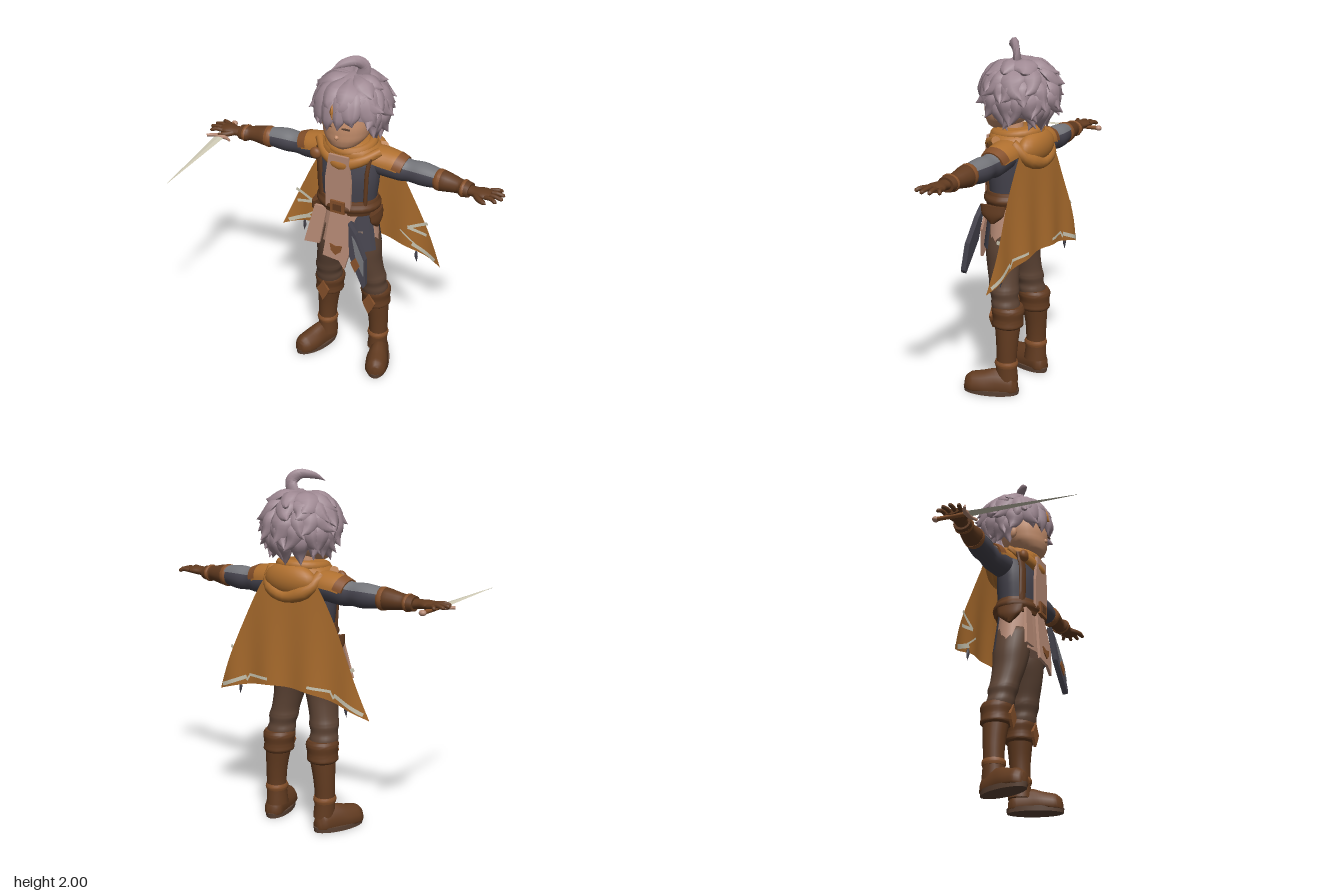
import * as THREE from 'three';
import { toCreasedNormals } from 'three/addons/utils/BufferGeometryUtils.js';

const material = (name, color, side = THREE.FrontSide) =>
  Object.assign(new THREE.MeshStandardMaterial({ color, side }), { name });
const V = (p) => new THREE.Vector3(...p);

// Elliptical tube along a smooth path; radii are [sideways, along up]
function sweep(pts, radii, o = {}) {
  const { up = [0, 1, 0], axis, sides = 16, n = (pts.length - 1) * 4, arc = [0, Math.PI * 2], floor = -9, crease = 0.9 } = o;
  const path = new THREE.CatmullRomCurve3(pts.map(V));
  const size = new THREE.CatmullRomCurve3(radii.map(([a, b]) => new THREE.Vector3(a, b, 0)));
  const pos = [], idx = [], w = sides + 1;
  for (let i = 0; i <= n; i++) {
    const P = path.getPoint(i / n), r = size.getPoint(i / n);
    const T = axis ? V(axis) : path.getTangent(i / n);
    const S = T.clone().cross(V(up)).normalize(), N = S.clone().cross(T);
    for (let j = 0; j <= sides; j++) {
      const a = arc[0] + (arc[1] - arc[0]) * j / sides;
      const q = P.clone().addScaledVector(S, Math.cos(a) * Math.max(r.x, 0.001))
        .addScaledVector(N, Math.sin(a) * Math.max(r.y, 0.001));
      pos.push(q.x, Math.max(q.y, floor), q.z);
      if (i < n && j < sides) {
        const k = i * w + j;
        idx.push(k, k + w, k + 1, k + 1, k + w, k + w + 1);
      }
    }
  }
  const c = pos.length / 3, a = pts[0], b = pts[pts.length - 1];
  pos.push(...a, ...b);
  for (let j = 0; j < sides; j++) idx.push(c, j, j + 1, c + 1, n * w + j + 1, n * w + j);
  const g = new THREE.BufferGeometry();
  g.setAttribute('position', new THREE.Float32BufferAttribute(pos, 3));
  g.setIndex(idx);
  return toCreasedNormals(g, crease);
}
// Upright body section list: [y, cx, cz, rx, rz]
const loft = (rows, o = {}) => sweep(rows.map((r) => [r[1], r[0], r[2]]), rows.map((r) => [r[3], r[4]]),
  { up: [0, 0, 1], axis: [0, 1, 0], sides: 24, ...o });

// Flat cloth panel that leans forward toward its lower end
function panel(pts, z, slope = 0, depth = 0.016) {
  const g = new THREE.ExtrudeGeometry(new THREE.Shape(pts.map((p) => new THREE.Vector2(...p))), { depth, bevelEnabled: false });
  const p = g.attributes.position;
  for (let i = 0; i < p.count; i++) p.setZ(i, p.getZ(i) + z + (1.1 - p.getY(i)) * slope);
  g.computeVertexNormals();
  return g;
}
const ball = (x, y, z, rx, ry, rz) => new THREE.SphereGeometry(1, 24, 16).scale(rx, ry, rz).translate(x, y, z);
const box = (x, y, z, w, h, d) => new THREE.BoxGeometry(w, h, d).translate(x, y, z);
const capeZ = (x, y) => {
  const v = (1.42 - y) / 0.7;
  return -0.332 - 0.013 * v - 0.032 * (1 - (x / 0.53) ** 2) * (0.4 + 0.6 * v) + 0.01 * Math.cos(x * 22) * v;
};

export function createModel() {
  const D = THREE.DoubleSide;
  const hair = material('hair mauve', 0x9f8993, D), skin = material('skin', 0xc48e6c);
  const orange = material('ochre cloth', 0xb0702f, D), leather = material('tan leather', 0x85502a);
  const boot = material('dark leather', 0x623b20), trousers = material('trouser brown', 0x5c4334);
  const navy = material('navy cloth', 0x45434d, D), grey = material('grey cloth', 0x74757a, D);
  const tan = material('pale tunic', 0xb68a75), cream = material('cream', 0xd2cdb8, D);
  const model = new THREE.Group();
  const add = (name, geo, mat) => {
    const m = new THREE.Mesh(geo, mat);
    m.name = name;
    model.add(m);
    return m;
  };

  // Head
  add('head', loft([[1.495, 0, -0.12, 0.035, 0.035], [1.52, 0, -0.135, 0.085, 0.08], [1.57, 0, -0.165, 0.128, 0.125],
    [1.65, 0, -0.18, 0.143, 0.14], [1.75, 0, -0.2, 0.14, 0.14], [1.83, 0, -0.22, 0.09, 0.09]], { crease: 2 }), skin);
  add('nose', ball(0, 1.585, -0.046, 0.014, 0.015, 0.018), skin);
  add('neck', new THREE.CylinderGeometry(0.055, 0.065, 0.14, 16).translate(0, 1.47, -0.2), skin);
  for (const s of [-1, 1]) {
    add('ear', ball(s * 0.15, 1.605, -0.19, 0.02, 0.042, 0.03), skin);
    add('eyelash', box(s * 0.055, 1.645, -0.047, 0.05, 0.009, 0.007), trousers);
  }

  // Hair: cap plus shaggy rows of pointed, outward flicking locks
  const R = [0.188, 0.182, 0.192];
  add('hairCap', new THREE.SphereGeometry(1, 32, 20, 0, Math.PI * 2, 0, Math.PI * 0.64).rotateX(-0.42)
    .scale(...R).translate(0, 1.71, -0.24), hair);
  const onHead = (az, el, k) => [R[0] * Math.sin(az) * Math.cos(el) * k, 1.71 + R[1] * Math.sin(el) * k,
    -0.24 + R[2] * Math.cos(az) * Math.cos(el) * k];
  const lock = (az, e0, e1, k, w, lean, mat = hair) => {
    const m = (e0 + e1) / 2, up = [Math.sin(az) * Math.cos(m), Math.sin(m), Math.cos(az) * Math.cos(m)];
    add('hairLock', sweep([onHead(az, e0, 0.95), onHead(az, m, 1.04), onHead(az + lean * 0.35, m * 0.35 + e1 * 0.65, 1.07), onHead(az + lean, e1, k)],
      [[0.015, 0.01], [w, 0.026], [w * 0.72, 0.028], [0, 0]], { up, sides: 8, n: 12 }), mat);
  };
  // [count, first and last azimuth, start and end elevation, reach, width]
  const rows = [[7, 1.0, 5.3, 1.45, 0.5, 1.26, 0.062], [9, 0.8, 5.5, 1.1, 0.12, 1.28, 0.058], [11, 0.9, 5.4, 0.7, -0.2, 1.3, 0.052],
    [11, 1.1, 5.2, 0.4, -0.55, 1.33, 0.05], [10, 1.4, 4.88, 0.1, -0.9, 1.33, 0.044], [7, -0.95, 0.95, 1.35, -0.32, 1.17, 0.056],
    [4, -0.7, 0.85, 1.3, 0.05, 1.17, 0.06]];
  rows.forEach(([n, a0, a1, e0, e1, k, w], r) => {
    for (let i = 0; i < n; i++) {
      lock(a0 + (a1 - a0) * (i + 0.3 * Math.sin(i * 5.1 + r)) / (n - 1), e0, e1 + Math.sin(i * 7.3 + r * 3.1) * 0.13,
        k + 0.04 * Math.sin(i * 4.7 + r), w * (1 + 0.2 * Math.sin(i * 3.7 + r)), 0.3 * Math.sin(i * 2.9 + r * 2));
    }
  });
  lock(-0.1, 0.62, -0.02, 1.2, 0.022, 0.05, orange);
  add('hairCurl', sweep([[0.05, 1.87, -0.25], [0.062, 1.94, -0.25], [0.03, 1.976, -0.22], [-0.03, 1.968, -0.17], [-0.075, 1.94, -0.13]],
    [[0.04, 0.02], [0.034, 0.02], [0.03, 0.022], [0.022, 0.014], [0, 0]], { up: [0.3, 0.4, 1], sides: 8 }), hair);

  // Torso and tunic
  add('jacket', loft([[0.95, 0, -0.2, 0.17, 0.11], [1.1, 0, -0.2, 0.165, 0.115], [1.3, 0, -0.2, 0.185, 0.125],
    [1.41, 0, -0.21, 0.18, 0.115], [1.47, 0, -0.21, 0.1, 0.08]]), navy);
  add('tunicSkirt', loft([[0.86, 0, -0.2, 0.198, 0.125], [0.98, 0, -0.2, 0.182, 0.122], [1.1, 0, -0.2, 0.165, 0.118]]), tan);
  const tail = (a, len) => new THREE.CylinderGeometry(0.172, 0.212, 0.25, 24, 3, true, a, len).scale(1, 1, 0.65).translate(0, 0.975, -0.2);
  add('coatTail', tail(Math.PI * 0.66, Math.PI * 0.68), navy);
  add('coatSide', tail(0.35, 0.9), navy);
  add('chestPanel', panel([[-0.08, 1.12], [0.075, 1.12], [0.08, 1.3], [0.06, 1.46], [-0.06, 1.46], [-0.085, 1.3]], -0.08), tan);
  add('frontFlap', panel([[-0.05, 1.1], [0.05, 1.1], [0.1, 0.92], [0.06, 0.745], [0.02, 0.79], [-0.085, 0.8]], -0.085, 0.12), tan);
  add('flapPatch', panel([[-0.04, 0.89], [0, 0.88], [0.04, 0.89], [0.03, 0.85], [0, 0.825], [-0.03, 0.85]], -0.067, 0.12, 0.006), leather);
  add('sideFlap', panel([[-0.165, 1.09], [-0.085, 1.09], [-0.12, 0.855], [-0.22, 0.845]], -0.105, 0.13), tan);
  add('sash', panel([[0.08, 1.06], [0.13, 1.0], [0.2, 0.86], [0.215, 0.7], [0.2, 0.68], [0.16, 0.75], [0.1, 0.86]], -0.07, 0.13, 0.03), navy);
  add('sashStripe', panel([[0.11, 0.99], [0.135, 0.96], [0.195, 0.85], [0.2, 0.76], [0.15, 0.84]], -0.04, 0.13, 0.006), grey);
  add('sashOrnament', panel([[0.115, 0.83], [0.145, 0.865], [0.175, 0.82], [0.15, 0.775]], -0.034, 0.13, 0.006), leather);

  // Belt, pouches and straps
  add('belt', loft([[1.08, 0, -0.2, 0.178, 0.13], [1.1, 0, -0.2, 0.183, 0.135], [1.15, 0, -0.2, 0.183, 0.135], [1.17, 0, -0.2, 0.178, 0.13]]), boot);
  add('buckle', box(0, 1.135, -0.06, 0.09, 0.075, 0.02), leather);
  add('buckleCentre', box(0, 1.135, -0.05, 0.05, 0.04, 0.008), boot);
  for (const s of [-1, 1]) {
    add('beltPouch', sweep([[s * 0.185, 1.1, -0.18], [s * 0.19, 1.05, -0.18], [s * 0.19, 1.0, -0.18]],
      [[0.08, 0.02], [0.07, 0.022], [0.012, 0.012]], { up: [1, 0, 0] }), boot);
    const w = s < 0 ? 0.024 : 0.012, strap = [w, 0.01];
    add('chestStrap', sweep([[s * 0.16, 1.45, -0.14], [s * 0.15, 1.36, -0.122], [s * 0.145, 1.25, -0.122], [s * 0.14, 1.15, -0.125]],
      [strap, strap, strap, strap], { up: [s * 0.5, 0, 1] }), boot);
  }
  add('strapStud', ball(-0.165, 1.42, -0.105, 0.035, 0.035, 0.025), leather);

  // Cowl and hood
  add('cowl', loft([[1.37, 0, -0.23, 0.1, 0.11], [1.405, 0, -0.228, 0.165, 0.14], [1.44, 0, -0.228, 0.19, 0.15],
    [1.48, 0, -0.228, 0.165, 0.148], [1.515, 0, -0.23, 0.115, 0.115]], { crease: 2 }), orange);
  add('cowlRoll', new THREE.TorusGeometry(0.122, 0.03, 12, 32).rotateX(Math.PI / 2 + 0.12).translate(0, 1.488, -0.227), orange);
  add('cowlFold', sweep([[-0.19, 1.47, -0.2], [-0.11, 1.43, -0.115], [0, 1.4, -0.083], [0.11, 1.43, -0.115], [0.19, 1.47, -0.2]],
    [[0.025, 0.025], [0.026, 0.032], [0.026, 0.035], [0.026, 0.032], [0.025, 0.025]]), orange);
  add('hood', ball(0, 1.42, -0.34, 0.17, 0.095, 0.075), orange);
  add('hoodFold', sweep([[-0.17, 1.46, -0.29], [-0.14, 1.39, -0.35], [0, 1.335, -0.38], [0.14, 1.39, -0.35], [0.17, 1.46, -0.29]],
    [[0.03, 0.03], [0.035, 0.035], [0.035, 0.035], [0.035, 0.035], [0.03, 0.03]], { up: [0, 0, 1] }), orange);

  // Cape with zigzag trim, drawn differently on the lining and the back
  const cape = new THREE.PlaneGeometry(2, 1, 48, 20), cp = cape.attributes.position;
  for (let i = 0; i < cp.count; i++) {
    const u = cp.getX(i), v = 0.5 - cp.getY(i);
    const x = u * (0.17 + 0.36 * v ** 0.82), y = 1.42 + (0.72 + 0.1 * (1 - u * u) - 1.42) * v;
    cp.setXYZ(i, x, y, capeZ(x, y));
  }
  cape.computeVertexNormals();
  add('cape', cape, orange);
  // [x0, y0, x1, y1, width]
  const lining = [[0.49, 0.752, 0.34, 0.822, 0.026], [0.37, 0.815, 0.26, 0.9, 0.01], [0.43, 0.905, 0.31, 0.93, 0.02], [0.31, 0.93, 0.435, 0.99, 0.02]];
  const outer = [[0.5, 0.752, 0.31, 0.83, 0.022], [0.31, 0.808, 0.28, 0.85, 0.012], [0.29, 0.845, 0.14, 0.848, 0.016]];
  for (const s of [-1, 1]) for (const [trim, off] of [[lining, 0.006], [outer, -0.006]]) for (const [x0, y0, x1, y1, w] of trim) {
    const g = new THREE.PlaneGeometry(1, 1, 10, 1), p = g.attributes.position, L = Math.hypot(x1 - x0, y1 - y0);
    for (let i = 0; i < p.count; i++) {
      const t = p.getX(i) + 0.5, q = p.getY(i) * w / L;
      const x = s * (x0 + (x1 - x0) * t - (y1 - y0) * q), y = y0 + (y1 - y0) * t + (x1 - x0) * q;
      p.setXYZ(i, x, y, capeZ(x, y) + off);
    }
    g.computeVertexNormals();
    add('capeTrim', g, cream);
  }

  for (const s of [-1, 1]) {
    add('capePendant', sweep([[s * 0.375, 0.785, -0.34], [s * 0.375, 0.755, -0.34], [s * 0.38, 0.715, -0.34]],
      [[0.006, 0.006], [0.011, 0.008], [0, 0]], { up: [0, 0, 1], sides: 6 }), navy);

    // Arm: sleeve, shoulder drape over its top, bracer, hand
    const limb = (name, mat, list, o) => add(name, sweep(list.map(([x, y, z]) => [s * x, y, z]), list.map((l) => [l[3], l[4]]), o), mat);
    const sleeve = [[0.16, 1.385, -0.24, 0.07, 0.075], [0.3, 1.37, -0.25, 0.066, 0.072], [0.36, 1.368, -0.25, 0.058, 0.062],
      [0.43, 1.368, -0.25, 0.065, 0.066], [0.55, 1.368, -0.24, 0.05, 0.052]];
    limb('sleeve', navy, sleeve);
    limb('sleevePatch', grey, sleeve.slice(1).map(([x, y, z, a, b]) => [x, y, z, a + 0.004, b + 0.004]), { arc: [0.5, Math.PI - 0.5] });
    limb('shoulderDrape', orange, [[0.1, 1.42, -0.24, 0.095, 0.06], [0.2, 1.395, -0.25, 0.09, 0.08], [0.27, 1.385, -0.25, 0.082, 0.078], [0.3, 1.375, -0.25, 0.074, 0.074]], { arc: [0, Math.PI] });
    limb('drapeHem', leather, [[0.27, 1.387, -0.25, 0.084, 0.08], [0.32, 1.372, -0.25, 0.074, 0.076]], { arc: [0.1, Math.PI - 0.1] });
    limb('bracer', boot, [[0.53, 1.368, -0.24, 0.054, 0.056], [0.56, 1.368, -0.238, 0.06, 0.06], [0.62, 1.366, -0.235, 0.05, 0.05],
      [0.67, 1.364, -0.228, 0.042, 0.042], [0.69, 1.362, -0.225, 0.055, 0.046], [0.73, 1.36, -0.222, 0.05, 0.04]]);
    limb('bracerTrim', leather, [[0.52, 1.368, -0.24, 0.054, 0.056], [0.54, 1.368, -0.239, 0.062, 0.064], [0.56, 1.368, -0.238, 0.06, 0.061]]);
    limb('cuffTrim', leather, [[0.682, 1.362, -0.225, 0.054, 0.045], [0.692, 1.362, -0.225, 0.058, 0.049], [0.702, 1.362, -0.225, 0.055, 0.046]]);
    limb('palm', boot, [[0.71, 1.36, -0.222, 0.035, 0.03], [0.76, 1.363, -0.217, 0.038, 0.025], [0.81, 1.366, -0.217, 0.053, 0.023], [0.85, 1.366, -0.22, 0.05, 0.016]]);
    for (let f = 0; f < 4; f++) {
      const z = -0.177 - f * 0.029, e = [0.905, 0.925, 0.92, 0.895][f], spread = (f - 1.5) * -0.014;
      limb('finger', boot, [[0.83, 1.367, z, 0.013, 0.013], [0.87, 1.372, z + spread / 2, 0.012, 0.012], [e - 0.01, 1.365, z + spread, 0.011, 0.011], [e, 1.362, z + spread, 0.003, 0.003]], { sides: 8 });
    }
    limb('thumb', boot, [[0.765, 1.36, -0.195, 0.018, 0.018], [0.8, 1.355, -0.16, 0.016, 0.016], [0.835, 1.352, -0.143, 0.013, 0.013], [0.85, 1.35, -0.138, 0.003, 0.003]], { sides: 8 });

    // Leg: trousers, boot shaft, cuff, foot
    const leg = (name, mat, list, o) => add(name, loft(list.map(([y, x, z, a, b]) => [y, s * x, z, a, b]), o), mat);
    leg('trouserLeg', trousers, [[0.47, 0.155, -0.255, 0.07, 0.075], [0.53, 0.153, -0.245, 0.082, 0.08], [0.565, 0.15, -0.238, 0.075, 0.077],
      [0.61, 0.145, -0.232, 0.084, 0.085], [0.65, 0.138, -0.225, 0.078, 0.085], [0.74, 0.12, -0.212, 0.084, 0.095],
      [0.85, 0.102, -0.205, 0.1, 0.105], [0.98, 0.09, -0.2, 0.085, 0.105]], { crease: 2 });
    leg('bootShaft', boot, [[0.08, 0.172, -0.265, 0.06, 0.068], [0.2, 0.176, -0.266, 0.056, 0.058], [0.3, 0.172, -0.267, 0.061, 0.062], [0.42, 0.16, -0.264, 0.072, 0.075]]);
    leg('bootCuff', boot, [[0.4, 0.16, -0.263, 0.072, 0.076], [0.415, 0.159, -0.263, 0.087, 0.09], [0.45, 0.157, -0.263, 0.084, 0.087], [0.5, 0.155, -0.262, 0.092, 0.094], [0.525, 0.155, -0.26, 0.082, 0.086]]);
    leg('ankleStrap', leather, [[0.165, 0.175, -0.265, 0.06, 0.064], [0.182, 0.175, -0.265, 0.064, 0.068], [0.2, 0.175, -0.265, 0.06, 0.062]]);
    const tab = (dx, y) => [s * 0.155 + dx, y];
    add('cuffTab', panel([tab(0, 0.37), tab(0.028, 0.42), tab(0.04, 0.45), tab(0.022, 0.475), tab(0, 0.515), tab(-0.022, 0.475), tab(-0.04, 0.45), tab(-0.028, 0.42)], -0.176), leather);
    const turn = s * 0.33, along = (t) => [s * 0.213 + Math.sin(turn) * t, 0.03, -0.188 + Math.cos(turn) * t];
    add('foot', sweep([-0.15, -0.12, -0.03, 0.05, 0.115, 0.148, 0.156].map(along),
      [[0.03, 0.04], [0.054, 0.1], [0.06, 0.115], [0.069, 0.095], [0.062, 0.082], [0.035, 0.055], [0.005, 0.02]], { floor: 0.02, crease: 1.1 }), boot);
    add('sole', loft([[0, 0, 0, 0.07, 0.158], [0.028, 0, 0, 0.072, 0.162]]).rotateY(turn).translate(s * 0.213, 0, -0.188), trousers);
  }

  // Sword held flat under the right hand
  add('blade', sweep([[-0.826, 1.345, -0.125], [-0.785, 1.345, 0.47]], [[0.029, 0.005], [0.001, 0.001]], { sides: 4, crease: 0.1 }), cream);
  add('crossguard', sweep([[-0.905, 1.345, -0.115], [-0.87, 1.345, -0.138], [-0.828, 1.345, -0.142], [-0.785, 1.345, -0.138], [-0.75, 1.345, -0.12]],
    [[0.006, 0.008], [0.01, 0.011], [0.016, 0.014], [0.01, 0.011], [0.006, 0.008]], { sides: 10 }), tan);
  add('swordGrip', sweep([[-0.828, 1.345, -0.14], [-0.84, 1.345, -0.32]], [[0.013, 0.013], [0.012, 0.012]], { sides: 10 }), leather);
  add('pommel', ball(-0.84, 1.345, -0.322, 0.02, 0.016, 0.018), tan);
  return model;
}
